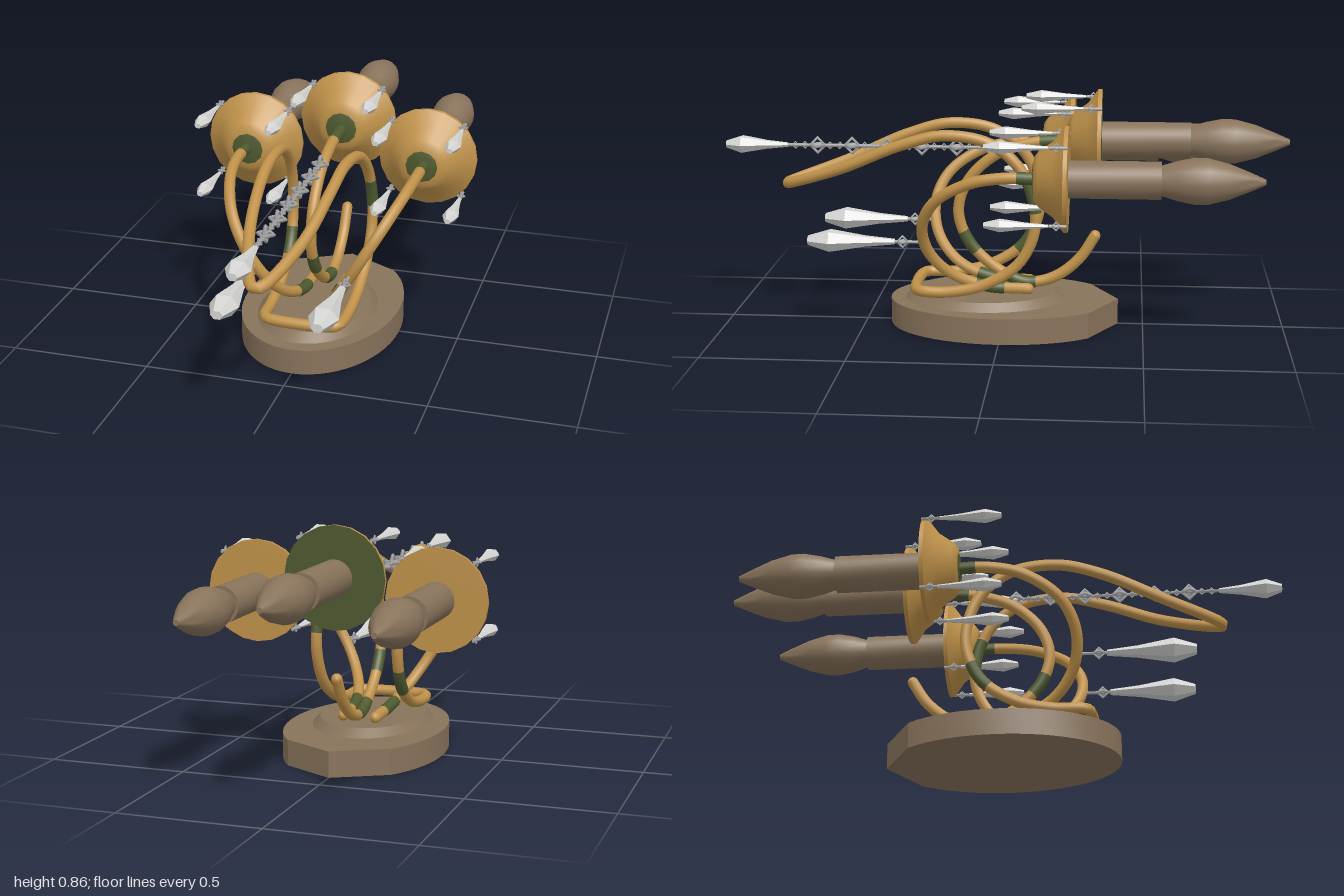
import * as THREE from 'three';
import { toCreasedNormals } from 'three/addons/utils/BufferGeometryUtils.js';

const paint = (name, color) => {
  const m = new THREE.MeshStandardMaterial({ color });
  m.name = name;
  return m;
};
const V = (x, y, z) => new THREE.Vector3(x, y, z);

export function createModel() {
  const model = new THREE.Group();
  const brass = paint('brass', 0xc0924a);
  const brown = paint('brown', 0x88735b);
  const patina = paint('patina', 0x4f5a30);
  const glass = paint('glass', 0xd4d4d2);
  const wire = paint('wire', 0xa6a6a6);

  const add = (parent, name, geo, mat, x = 0, y = 0, z = 0) => {
    const mesh = new THREE.Mesh(geo, mat);
    mesh.name = name;
    mesh.position.set(x, y, z);
    parent.add(mesh);
    return mesh;
  };
  // Turned part whose axis lies along z; points are [radius, z], z rising
  const turned = (pts, sides, crease = 0.6) => {
    const g = new THREE.LatheGeometry(pts.map(p => new THREE.Vector2(...p)), sides, Math.PI / 2);
    g.rotateX(Math.PI / 2);
    return toCreasedNormals(g, crease);
  };

  // Back plate: oval with one pointed end
  const outline = [new THREE.Vector2(0, 0.41)];
  const start = Math.PI / 2 + 0.72, sweep = Math.PI * 2 - 1.44;
  for (let i = 0; i <= 44; i++) {
    const a = start + sweep * i / 44;
    outline.push(new THREE.Vector2(0.285 * Math.cos(a), 0.41 * Math.sin(a)));
  }
  const plate = new THREE.ExtrudeGeometry(new THREE.Shape(outline), { depth: 0.092, bevelEnabled: false });
  plate.rotateX(-Math.PI / 2);
  add(model, 'backPlate', toCreasedNormals(plate, 0.4), brown);
  const raised = new THREE.CylinderGeometry(0.185, 0.213, 0.03, 48);
  raised.scale(1, 1, 1.36);
  add(model, 'raisedOval', toCreasedNormals(raised, 0.5), brown, 0, 0.105, 0.07);

  // Bent rods, with closed rounded ends and weathered sleeves
  const rod = (name, pts, sleeves = [], closed = false, r = 0.02) => {
    const g = new THREE.Group();
    g.name = name;
    model.add(g);
    const curve = new THREE.CatmullRomCurve3(pts, closed);
    add(g, 'rod', new THREE.TubeGeometry(curve, closed ? 160 : 72, r, 10, closed), brass);
    if (!closed) {
      for (const p of [pts[0], pts[pts.length - 1]]) {
        add(g, 'rodEnd', new THREE.SphereGeometry(r, 10, 8), brass, p.x, p.y, p.z);
      }
    }
    for (const [a, b] of sleeves) {
      const part = new THREE.CatmullRomCurve3([0, 1, 2, 3, 4].map(i => curve.getPointAt(a + (b - a) * i / 4)));
      const m = add(g, 'weatheredPatch', new THREE.TubeGeometry(part, 12, r + 0.0015, 10), patina);
      m.material = patina;
    }
  };

  // Centre arm
  const centre = [[0.67, -0.25], [0.66, -0.1], [0.615, 0.03], [0.52, 0.13], [0.41, 0.165], [0.3, 0.13],
    [0.2, 0.03], [0.15, -0.08], [0.17, -0.18], [0.24, -0.27], [0.325, -0.325]];
  rod('centreArm', centre.map(([y, z]) => V(0, y, z)), [[0.02, 0.1], [0.5, 0.57], [0.68, 0.77]]);

  // Side arms, each lying in a slanted plane
  const side = [[0.6, -0.14], [0.6, -0.02], [0.575, 0.1], [0.5, 0.22], [0.4, 0.27], [0.29, 0.255],
    [0.2, 0.18], [0.15, 0.06], [0.14, -0.09]];
  for (const s of [1, -1]) {
    rod(s > 0 ? 'leftArm' : 'rightArm',
      side.map(([y, z]) => V(s * (0.06 + 0.27 * (y - 0.14) / 0.46), y, z)), [[0.01, 0.07], [0.82, 0.92]]);
  }

  // Mirrored scroll frame with a pointed front and a straight foot
  const half = [[0.012, 0.503, 0.78], [0.09, 0.575, 0.57], [0.122, 0.665, 0.36], [0.13, 0.705, 0.2],
    [0.138, 0.675, 0.03], [0.145, 0.57, -0.08], [0.15, 0.4, -0.12], [0.147, 0.26, -0.065],
    [0.144, 0.175, 0.06], [0.142, 0.145, 0.19], [0.135, 0.145, 0.285], [0.115, 0.145, 0.305]];
  const mirrored = half.map(([x, y, z]) => V(-x, y, z)).reverse();
  rod('scrollFrame', [...half.map(p => V(...p)), ...mirrored], [[0.27, 0.3], [0.63, 0.66]], true);

  // Faceted drop hanging along +z, with a wire link behind it
  const dropGeo = (r, len) => {
    const pts = [[0, 0], [0.25, 0.01], [0.5, 0.35], [1, 0.75], [0.42, 1], [0, 1]];
    const g = turned(pts.map(([a, b]) => [a * r, b * len]), 6, 0.1);
    g.scale(1, 0.78, 1);
    return g;
  };
  const link = new THREE.TorusGeometry(0.02, 0.005, 5, 4);
  link.rotateX(Math.PI / 2);
  const addLink = (parent, x, y, z, size = 1) => {
    for (const turn of [0, Math.PI / 2]) {
      const m = add(parent, 'wireLink', link, wire, x, y, z);
      m.rotation.z = turn;
      m.scale.setScalar(size);
    }
  };
  const bar = (parent, x, y, z0, z1) => {
    const g = new THREE.CylinderGeometry(0.006, 0.006, z1 - z0, 6);
    g.rotateX(Math.PI / 2);
    add(parent, 'wireBar', g, wire, x, y, (z0 + z1) / 2);
  };
  const bigDrop = dropGeo(0.052, 0.31), smallDrop = dropGeo(0.029, 0.215), endDrop = dropGeo(0.042, 0.225);

  // Candle holders: dish, candle and flame bulb
  const dish = turned([[0.18, 0], [0.18, 0.014], [0.13, 0.05], [0.095, 0.1], [0.075, 0.115], [0.05, 0.118]], 20);
  const dishBack = turned([[0, -0.001], [0.18, 0]], 20);
  const collar = turned([[0.058, 0.1175], [0.05, 0.12], [0, 0.121]], 12);
  const candle = turned([[0.05, -0.31], [0.064, -0.31], [0.064, 0]], 24);
  const bulb = turned([[0, -0.657], [0.01, -0.655], [0.032, -0.605], [0.06, -0.535], [0.078, -0.465],
    [0.079, -0.42], [0.068, -0.365], [0.05, -0.305]], 20, 0.8);
  const holders = [['centreHolder', 0, 0.675, -0.345], ['leftHolder', 0.325, 0.6, -0.24],
    ['rightHolder', -0.325, 0.6, -0.24]];
  for (const [name, x, y, z] of holders) {
    const h = new THREE.Group();
    h.name = name;
    h.position.set(x, y, z);
    model.add(h);
    add(h, 'dish', dish, brass);
    add(h, 'dishBack', dishBack, x ? brass : patina);
    add(h, 'weatheredCollar', collar, patina);
    add(h, 'candle', candle, brown);
    add(h, 'flameBulb', bulb, brown);
    for (const sx of [1, -1]) {
      for (const sy of x ? [1, -1] : [1]) {
        const px = sx * 0.131, py = sy * 0.131;
        bar(h, px, py, 0, 0.06);
        addLink(h, px, py, 0.035, 0.7);
        add(h, 'crystalDrop', smallDrop, glass, px, py, 0.06);
      }
    }
  }

  // Large drops hung from the side arms
  for (const s of [1, -1]) {
    bar(model, s * 0.17, 0.333, 0.27, 0.38);
    addLink(model, s * 0.17, 0.333, 0.345);
    add(model, 'largeCrystalDrop', bigDrop, glass, s * 0.17, 0.333, 0.37);
  }

  // Central bead chain ending in a drop
  const chain = new THREE.Group();
  chain.name = 'crystalChain';
  model.add(chain);
  bar(chain, 0, 0.64, 0.05, 0.79);
  for (let i = 0; i < 6; i++) {
    const z = 0.045 + i * 0.125;
    addLink(chain, 0, 0.64, z, 1.35);
    addLink(chain, 0, 0.64, z + 0.045, 0.6);
    addLink(chain, 0, 0.64, z + 0.08, 0.6);
  }
  add(chain, 'endDrop', endDrop, glass, 0, 0.64, 0.775);

  return model;
}
